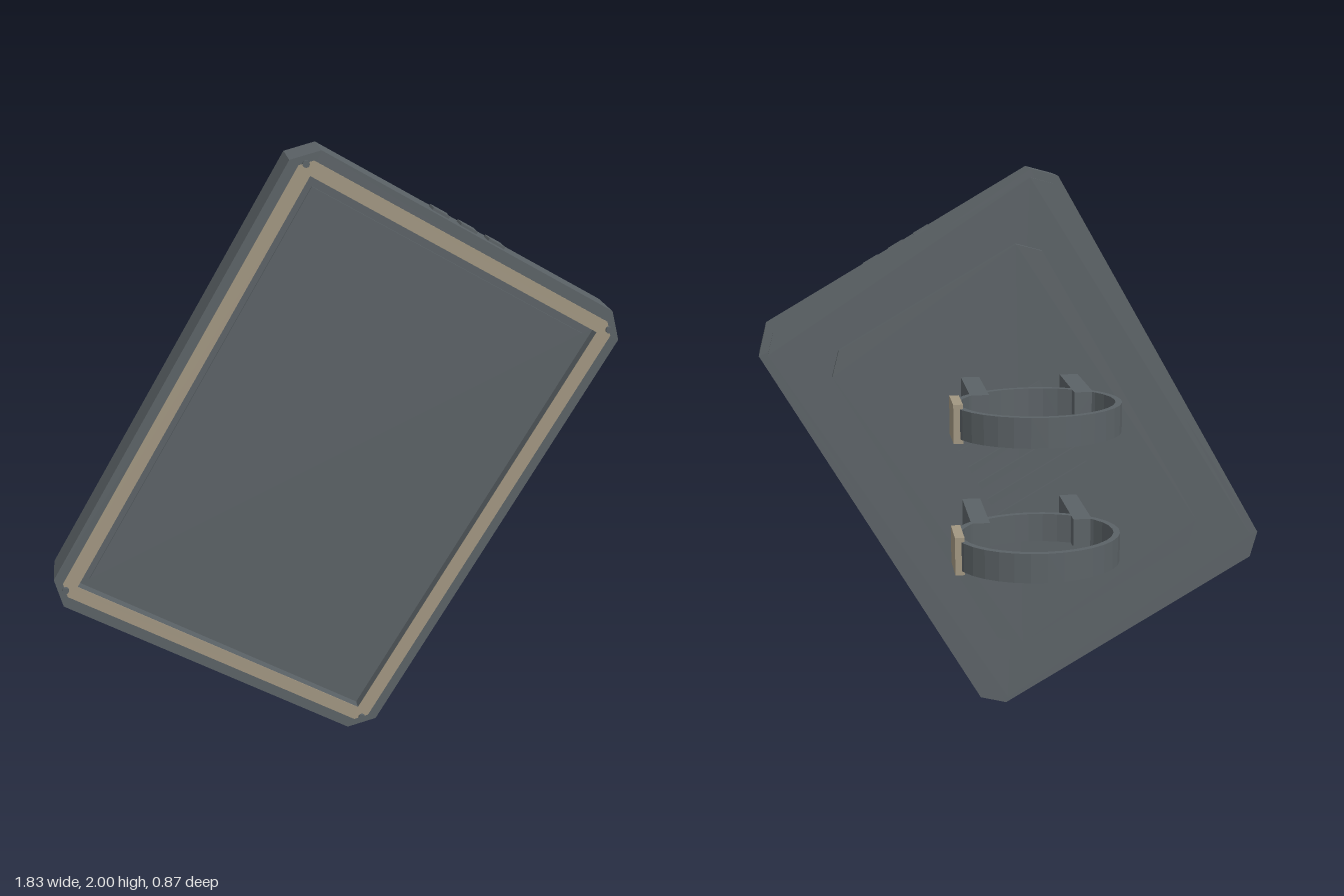
import * as THREE from 'three';

// Rectangle with cut corners, given by half width, half height and corner cut
function cutRect(w, h, c) {
  const pts = [
    [w, h - c], [w - c, h], [c - w, h], [-w, h - c],
    [-w, c - h], [c - w, -h], [w - c, -h], [w, c - h],
  ].map(([x, y]) => new THREE.Vector2(x, y));
  return new THREE.Shape(pts);
}

function rectHole(w, h) {
  return new THREE.Path([[w, h], [w, -h], [-w, -h], [-w, h]].map(([x, y]) => new THREE.Vector2(x, y)));
}

// Extrusion between two depths
function slab(shape, z0, z1, curveSegments = 12) {
  const g = new THREE.ExtrudeGeometry(shape, { depth: z1 - z0, bevelEnabled: false, curveSegments });
  return g.translate(0, 0, z0);
}

export function createModel() {
  const slate = new THREE.MeshStandardMaterial({ color: 0x5b6266 });
  slate.name = 'slate';
  const tan = new THREE.MeshStandardMaterial({ color: 0xa19681 });
  tan.name = 'tan';

  const model = new THREE.Group();
  model.name = 'wristTablet';
  const add = (parent, name, geometry, material, x = 0, y = 0, z = 0) => {
    const m = new THREE.Mesh(geometry, material);
    m.name = name;
    m.position.set(x, y, z);
    parent.add(m);
  };

  // Tablet, leaning sideways
  const tablet = new THREE.Group();
  tablet.name = 'tablet';
  tablet.position.y = 1;
  tablet.rotation.z = -Math.PI / 6;
  model.add(tablet);

  // Housing with a recess, its floor and the screen plate on it
  const housing = cutRect(0.612, 0.843, 0.071);
  housing.holes.push(rectHole(0.533, 0.76));
  add(tablet, 'housing', slab(housing, 0.28, 0.42), slate);
  add(tablet, 'recessFloor', new THREE.BoxGeometry(1.066, 1.52, 0.105), slate, 0, 0, 0.3325);
  add(tablet, 'screen', new THREE.BoxGeometry(1.01, 1.462, 0.008), slate, 0, 0, 0.387);

  // Tan trim around the screen
  const trim = cutRect(0.58, 0.806, 0.035);
  trim.holes.push(rectHole(0.533, 0.76));
  add(tablet, 'trim', slab(trim, 0.418, 0.422), tan);

  // Stepped back cover
  add(tablet, 'backStep', slab(cutRect(0.582, 0.82, 0.06), 0.26, 0.281), slate);
  add(tablet, 'backPlate', slab(cutRect(0.43, 0.65, 0.068), 0.235, 0.261), slate);

  // Vent ribs on the back
  for (let i = 0; i < 6; i++) {
    add(tablet, 'ventRib', new THREE.BoxGeometry(0.38, 0.025, 0.014), slate, 0, (i - 2.5) * 0.07, 0.231);
  }

  // Corner screws
  const screwGeo = new THREE.CylinderGeometry(0.011, 0.011, 0.01, 12).rotateX(Math.PI / 2);
  for (const sx of [-1, 1]) {
    for (const sy of [-1, 1]) add(tablet, 'screw', screwGeo, slate, sx * 0.563, sy * 0.786, 0.426);
  }

  // Three buttons on each short edge
  const buttonGeo = new THREE.BoxGeometry(0.06, 0.016, 0.055);
  for (const side of [-1, 1]) {
    for (let i = -1; i <= 1; i++) add(tablet, 'button', buttonGeo, slate, i * 0.104, side * 0.843, 0.347);
  }

  // Two level arm straps, each with a pair of legs and a buckle
  const band = new THREE.Shape().absellipse(0, 0, 0.28, 0.235, 0, Math.PI * 2, false, 0);
  band.holes.push(new THREE.Path().absellipse(0, 0, 0.258, 0.214, 0, Math.PI * 2, true, 0));
  const bandGeo = slab(band, -0.05, 0.05, 16).rotateX(-Math.PI / 2);
  const legGeo = new THREE.BoxGeometry(0.065, 0.1, 0.32);
  for (const y of [0.776, 1.226]) {
    const strap = new THREE.Group();
    strap.name = 'strap';
    strap.position.y = y;
    model.add(strap);
    add(strap, 'band', bandGeo, slate, 0, 0, -0.203);
    for (const s of [-1, 1]) add(strap, 'strapLeg', legGeo, slate, s * 0.178, 0, 0.085);
    add(strap, 'buckle', new THREE.BoxGeometry(0.032, 0.13, 0.145), tan, 0.27, 0, -0.205);
  }

  return model;
}
